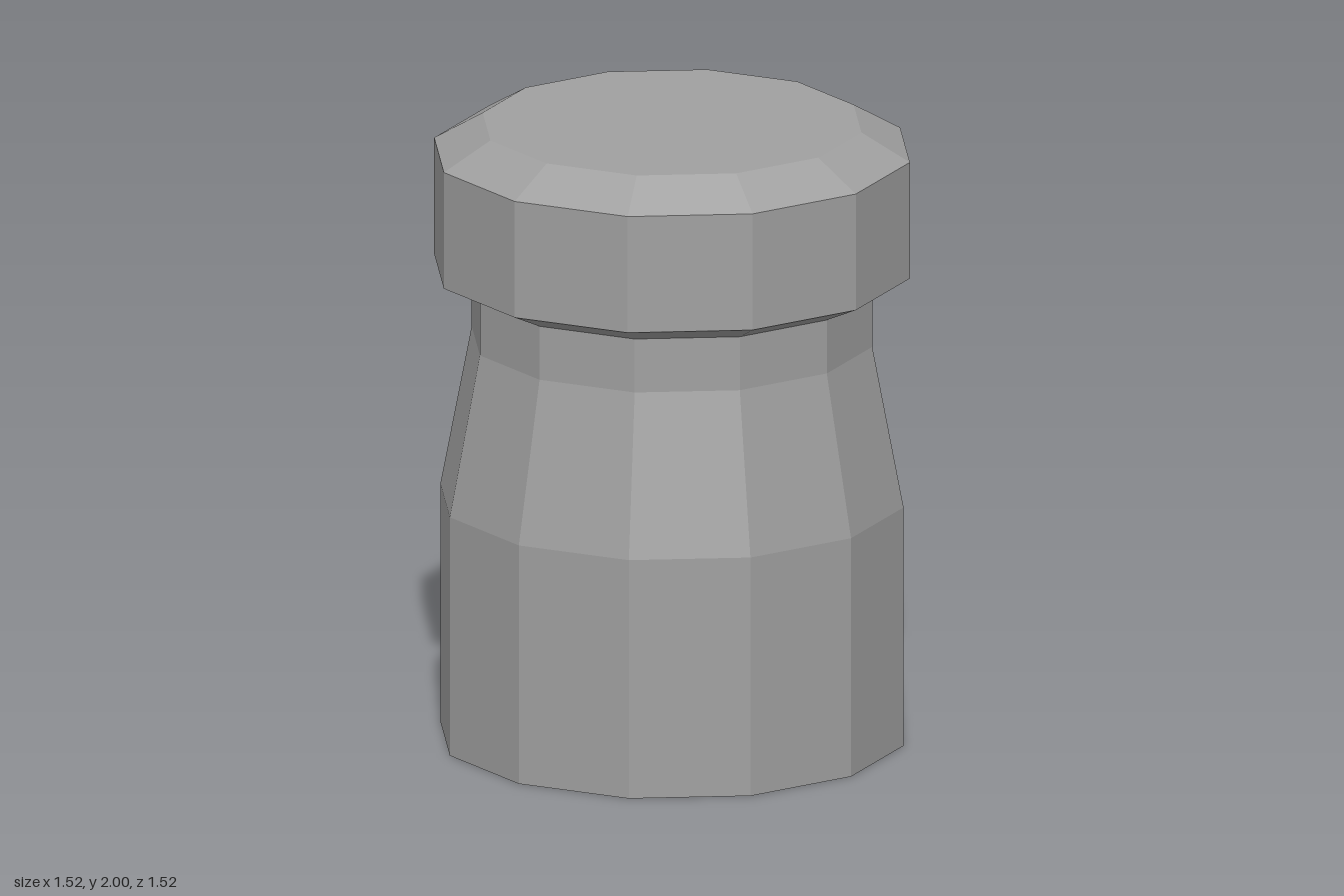
import * as THREE from 'three';

const SIDES = 12;

// Faceted solid of revolution from [radius, height] pairs, bottom to top
function facetedLathe(name, profile, material) {
  const points = profile.map(([r, y]) => new THREE.Vector2(r, y));
  const geometry = new THREE.LatheGeometry(points, SIDES).toNonIndexed();
  geometry.computeVertexNormals(); // one normal per facet
  const mesh = new THREE.Mesh(geometry, material);
  mesh.name = name;
  return mesh;
}

export function createModel() {
  const group = new THREE.Group();
  group.name = 'post';
  const grey = new THREE.MeshStandardMaterial({ color: 0xa0a0a0 });
  grey.name = 'grey';

  // Straight base tapering into a narrow neck, closed underneath
  group.add(facetedLathe('body', [
    [0, 0], [0.74, 0], [0.74, 0.78], [0.64, 1.3], [0.64, 1.475],
  ], grey));

  // Wider head with a sloped underside and bevelled top
  group.add(facetedLathe('head', [
    [0.64, 1.475], [0.76, 1.53], [0.76, 1.91], [0.605, 2], [0, 2],
  ], grey));

  return group;
}
